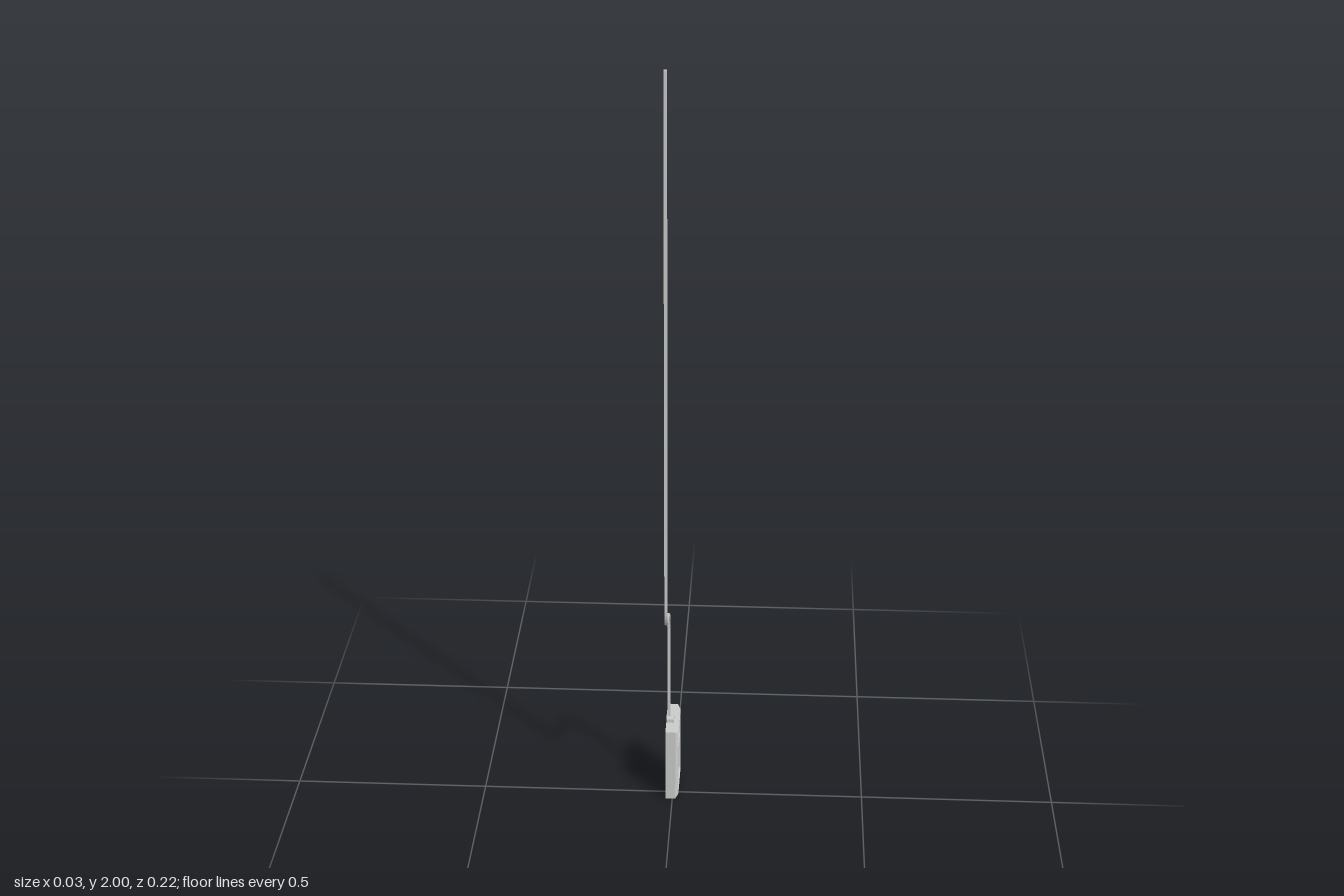
import * as THREE from 'three';

const grey = new THREE.MeshStandardMaterial({ color: 0xcccccc });
const CY = 0.103, CZ = -0.038; // centre of the box face

// Closed solid from rectangular rings along x; each ring is [x, inset]
function ringSolid(rings, halfY, halfZ) {
  const corners = [[1, -1], [1, 1], [-1, 1], [-1, -1]];
  const pts = rings.map(([x, d]) => corners.map(([y, z]) => [x, y * (halfY - d), z * (halfZ - d)]));
  const out = [];
  const quad = (a, b, c, d) => out.push(...a, ...b, ...c, ...a, ...c, ...d);
  for (let r = 0; r < pts.length - 1; r++) {
    for (let i = 0; i < 4; i++) {
      const j = (i + 1) % 4;
      quad(pts[r][i], pts[r][j], pts[r + 1][j], pts[r + 1][i]);
    }
  }
  quad(...[...pts[0]].reverse());
  quad(...pts[pts.length - 1]);
  const g = new THREE.BufferGeometry();
  g.setAttribute('position', new THREE.Float32BufferAttribute(out, 3));
  g.computeVertexNormals();
  return g;
}

// Square-section bar swept along a path of [z, y] points at a fixed x
function squareConduit(path, x, width) {
  const h = width / 2, left = [], right = [];
  path.forEach((p, i) => {
    const a = path[Math.max(i - 1, 0)], b = path[Math.min(i + 1, path.length - 1)];
    const n = new THREE.Vector2(a.y - b.y, b.x - a.x).normalize().multiplyScalar(h);
    left.push(p.clone().add(n));
    right.push(p.clone().sub(n));
  });
  const shape = new THREE.Shape([...left, ...right.reverse()]);
  const g = new THREE.ExtrudeGeometry(shape, { depth: width, bevelEnabled: false });
  g.translate(0, 0, -h);
  g.rotateY(-Math.PI / 2); // shape x becomes z
  g.translate(x, 0, 0);
  return g;
}

export function createModel() {
  const group = new THREE.Group();
  const add = (name, geometry, x = 0, y = 0, z = 0) => {
    const m = new THREE.Mesh(geometry, grey);
    m.name = name;
    m.position.set(x, y, z);
    group.add(m);
    return m;
  };
  const box = (name, sx, sy, sz, x, y, z) => add(name, new THREE.BoxGeometry(sx, sy, sz), x, y, z);

  // Box with a chamfered front cover and a shallow recessed panel
  add('switchBox', ringSolid([
    [-0.018, 0], [0.008, 0], [0.016, 0.01], [0.016, 0.018], [0.012, 0.02],
  ], 0.103, 0.07), 0, CY, CZ);

  // Lever, its pivot and a small knob, set in the panel
  box('lever', 0.004, 0.018, 0.07, 0.014, 0.132, -0.037);
  box('leverPivot', 0.003, 0.012, 0.012, 0.0135, 0.117, -0.004);

  // Fitting where the conduit enters the box
  box('conduitFitting', 0.02, 0.012, 0.046, -0.008, 0.21, CZ);

  // Conduit: straight riser, S-bend, long straight run
  const path = new THREE.CurvePath();
  const v = (z, y) => new THREE.Vector2(z, y);
  path.add(new THREE.LineCurve(v(-0.036, 0.2), v(-0.036, 0.48)));
  path.add(new THREE.CubicBezierCurve(v(-0.036, 0.48), v(-0.036, 0.53), v(-0.01, 0.541), v(0.032, 0.546)));
  path.add(new THREE.CubicBezierCurve(v(0.032, 0.546), v(0.075, 0.551), v(0.103, 0.565), v(0.103, 0.61)));
  path.add(new THREE.LineCurve(v(0.103, 0.61), v(0.104, 2)));
  add('conduit', squareConduit(path.getPoints(10), -0.012, 0.008));

  return group;
}
